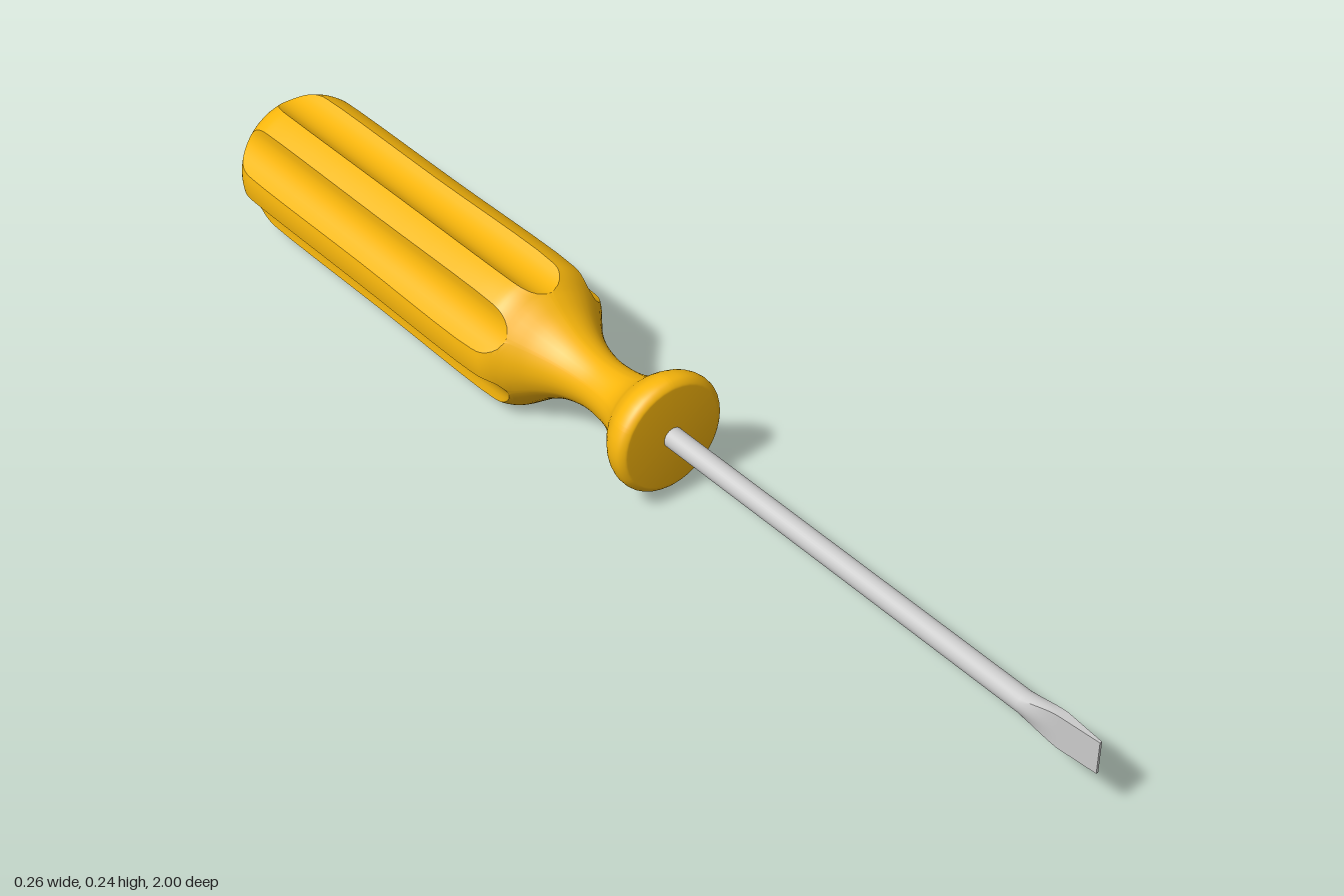
import * as THREE from 'three';
import { toCreasedNormals } from 'three/addons/utils/BufferGeometryUtils.js';

const AXIS_Y = 0.1205;
const SCALE = 100; // creases are computed at a larger scale for precision

// Closed skin through rings of [x, y, z] points, ordered back to front
function loft(rings, crease) {
  const n = rings[0].length;
  const pos = [], index = [];
  for (const ring of rings) for (const p of ring) pos.push(...p.map(v => v * SCALE));
  for (let i = 0; i < rings.length - 1; i++) {
    for (let k = 0; k < n; k++) {
      const a = i * n + k, b = i * n + (k + 1) % n;
      index.push(a, b, a + n, b, b + n, a + n);
    }
  }
  // flat end caps
  const back = rings.length * n, front = back + 1, last = (rings.length - 1) * n;
  pos.push(0, 0, rings[0][0][2] * SCALE, 0, 0, rings[rings.length - 1][0][2] * SCALE);
  for (let k = 0; k < n; k++) {
    const j = (k + 1) % n;
    index.push(back, j, k, front, last + k, last + j);
  }
  const geo = new THREE.BufferGeometry();
  geo.setAttribute('position', new THREE.Float32BufferAttribute(pos, 3));
  geo.setIndex(index);
  const out = toCreasedNormals(geo, crease);
  out.scale(1 / SCALE, 1 / SCALE, 1 / SCALE);
  return out;
}

// Handle: a turned profile cut by six round flutes
function handleGeometry() {
  const profile = [
    [0.066, -1], [0.085, -0.997], [0.104, -0.985], [0.118, -0.965], [0.125, -0.943],
    [0.127, -0.92], [0.127, -0.6], [0.127, -0.28], [0.122, -0.256], [0.1, -0.225],
    [0.077, -0.193], [0.058, -0.155], [0.048, -0.115], [0.046, -0.08], [0.053, -0.03],
    [0.068, 0], [0.087, 0.022], [0.1, 0.042], [0.104, 0.058], [0.102, 0.071], [0.094, 0.079], [0.088, 0.08],
  ].map(([r, z]) => new THREE.Vector3(r, 0, z));
  const curve = new THREE.CatmullRomCurve3(profile);
  const cutR = 0.0636, cutD = 0.168; // flute radius and distance from the axis
  const fluteSteps = 10, lobeSteps = 6;

  const rings = curve.getPoints((profile.length - 1) * 5).map(({ x: r, z }) => {
    // half angle at which the flute leaves the turned surface
    const c = (cutD * cutD + r * r - cutR * cutR) / (2 * cutD * r);
    const half = Math.max(c < 1 ? Math.acos(c) : 0, 0.04);
    const ring = [];
    const add = (angle, radius) =>
      ring.push([radius * Math.cos(angle), radius * Math.sin(angle), z]);
    for (let f = 0; f < 6; f++) {
      const mid = Math.PI / 6 + f * Math.PI / 3;
      for (let i = 0; i < fluteSteps; i++) {
        const a = half * (2 * i / fluteSteps - 1);
        const s = cutR * cutR - (cutD * Math.sin(a)) ** 2;
        const cut = s > 0 ? cutD * Math.cos(a) - Math.sqrt(s) : r;
        add(mid + a, Math.min(r, cut));
      }
      for (let i = 0; i < lobeSteps; i++) {
        add(mid + half + (Math.PI / 3 - 2 * half) * i / lobeSteps, r);
      }
    }
    return ring;
  });
  return loft(rings, 0.5);
}

// Shaft: a round rod that flattens into a wedge tip
function shaftGeometry() {
  const n = 32, r = 0.018;
  const section = (z, t, hx, hy) => Array.from({ length: n }, (_, k) => {
    const a = k / n * Math.PI * 2, c = Math.cos(a), s = Math.sin(a);
    const m = Math.max(Math.abs(c), Math.abs(s));
    return [
      THREE.MathUtils.lerp(r * c, hx * c / m, t),
      THREE.MathUtils.lerp(r * s, hy * s / m, t),
      z,
    ];
  });
  const rings = [section(0.07, 0, 0, 0)];
  for (let i = 0; i <= 8; i++) {
    const t = i / 8;
    rings.push(section(0.855 + 0.075 * t, THREE.MathUtils.smoothstep(t, -0.15, 1.05) * (i ? 1 : 0), 0.008, 0.029));
  }
  rings.push(section(0.93, 1, 0.008, 0.029), section(1, 1, 0.002, 0.029));
  rings.splice(-3, 1); // the exact blade section replaces the last blend
  return loft(rings, 0.6);
}

export function createModel() {
  const group = new THREE.Group();
  group.name = 'screwdriver';
  const parts = [
    ['handle', handleGeometry(), 0xf9b70c],
    ['shaftAndBlade', shaftGeometry(), 0xcccccc],
  ];
  for (const [name, geometry, color] of parts) {
    const mesh = new THREE.Mesh(geometry, new THREE.MeshStandardMaterial({ color }));
    mesh.name = name;
    mesh.position.y = AXIS_Y;
    group.add(mesh);
  }
  return group;
}
